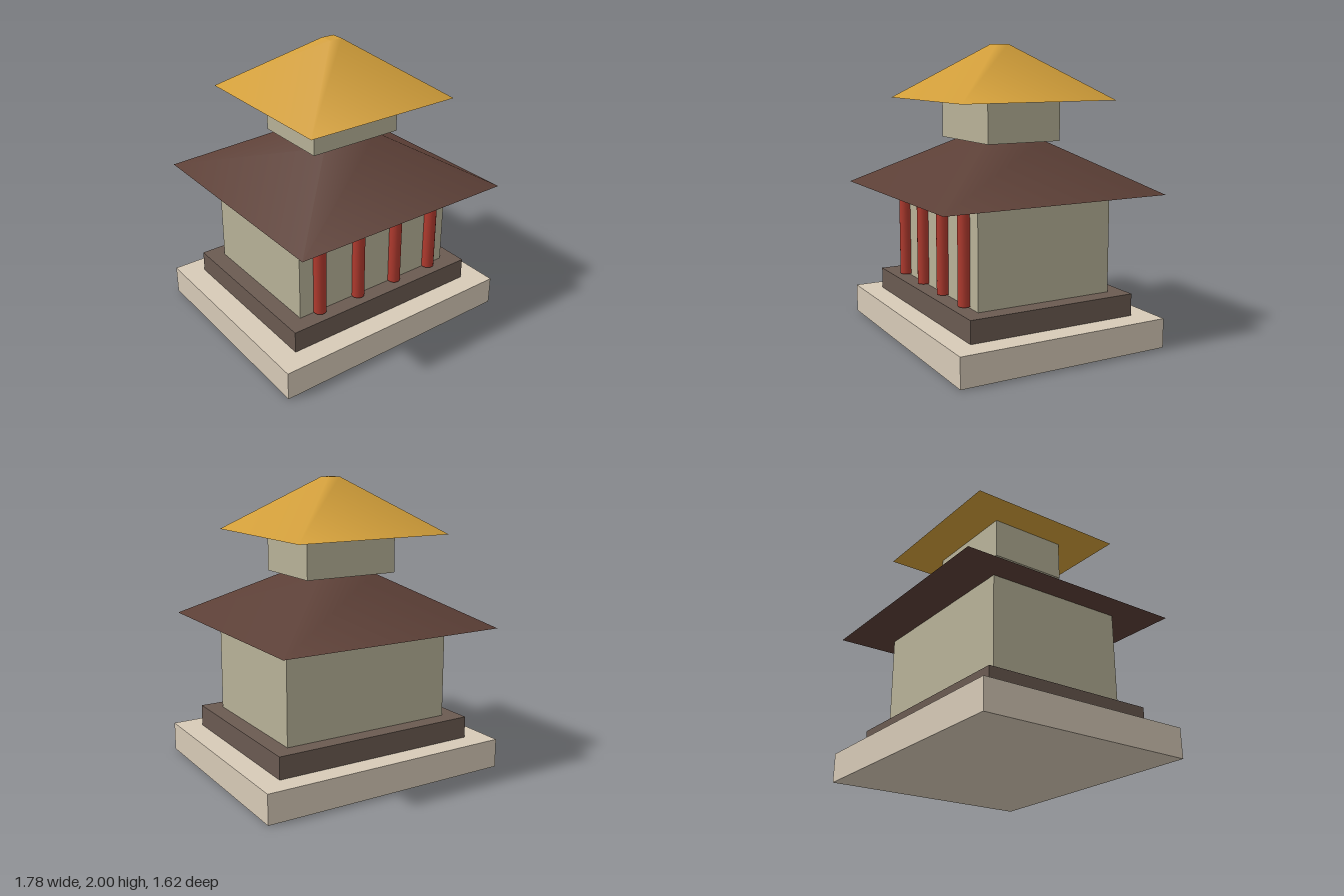
import * as THREE from 'three';

const paint = (color) => new THREE.MeshStandardMaterial({ color });

export function createModel() {
  const model = new THREE.Group();
  const stone = paint(0xd7cab7);
  const darkStone = paint(0x6a5a51);
  const wall = paint(0xb8b298);
  const tile = paint(0x5d4037);
  const gold = paint(0xd4a03a);
  const red = paint(0xb03a2e);

  function add(name, geometry, material, x, y, z) {
    const mesh = new THREE.Mesh(geometry, material);
    mesh.name = name;
    mesh.position.set(x, y, z);
    model.add(mesh);
  }

  // Box resting on y0 and reaching y1
  function block(name, material, width, depth, y0, y1) {
    add(name, new THREE.BoxGeometry(width, y1 - y0, depth), material, 0, (y0 + y1) / 2, 0);
  }

  // Four-sided truncated pyramid with softly shaded slopes
  function roof(name, material, topHalf, bottomHalf, y0, y1) {
    const geometry = new THREE.CylinderGeometry(topHalf * Math.SQRT2, bottomHalf * Math.SQRT2, y1 - y0, 4);
    geometry.rotateY(Math.PI / 4);
    add(name, geometry, material, 0, (y0 + y1) / 2, 0);
  }

  // Stepped platform
  block('base', stone, 1.785, 1.5, 0, 0.2);
  block('plinth', darkStone, 1.467, 1.204, 0.2, 0.35);

  // Two storeys, each under its own roof
  block('lowerHall', wall, 1.234, 0.98, 0.35, 1.013);
  roof('lowerRoof', tile, 0.213, 0.808, 1.013, 1.356);
  block('upperHall', wall, 0.684, 0.546, 1.356, 1.63);
  roof('upperRoof', gold, 0.045, 0.567, 1.63, 2);

  // Columns across the front
  for (let i = 0; i < 4; i++) {
    const geometry = new THREE.CylinderGeometry(0.043, 0.043, 0.636, 16);
    add(`column${i + 1}`, geometry, red, (i - 1.5) * 0.316, 0.678, 0.512);
  }

  return model;
}
